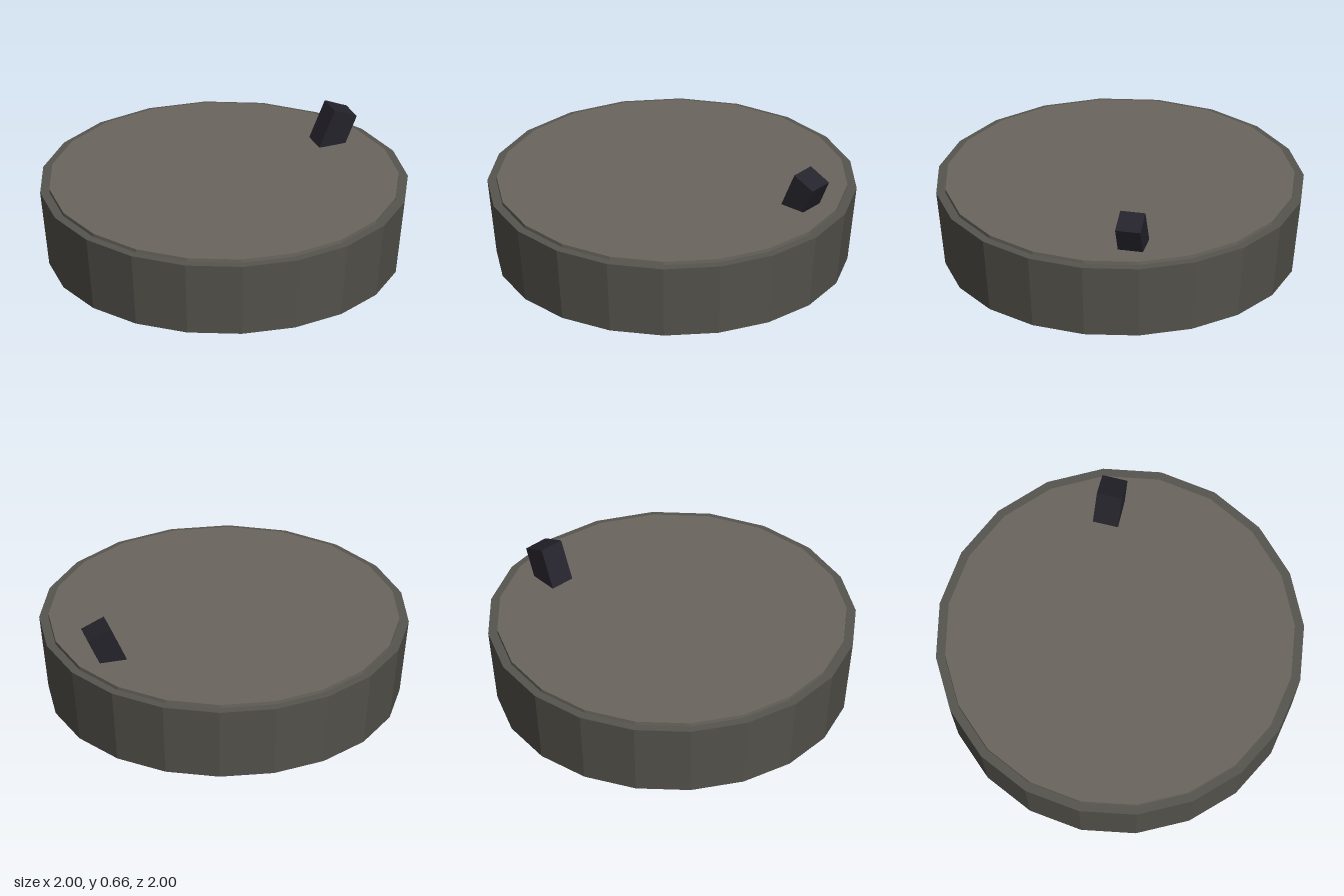
import * as THREE from 'three';

const SIDES = 20;

function part(name, geometry, color) {
  const material = new THREE.MeshStandardMaterial({ color, flatShading: true });
  const mesh = new THREE.Mesh(geometry, material);
  mesh.name = name;
  return mesh;
}

export function createModel() {
  const model = new THREE.Group();
  model.name = 'model';

  // Tapered drum, wider at the rim
  const body = part('body', new THREE.CylinderGeometry(1, 0.95, 0.43, SIDES), 0x57554e);
  body.position.y = 0.215;
  model.add(body);

  // Thin raised disc inside the rim, sunk a little into the body
  const surface = part('topSurface', new THREE.CylinderGeometry(0.95, 0.95, 0.04, SIDES), 0x6a665e);
  surface.position.y = 0.43;
  model.add(surface);

  // Square handle leaning outward, pivoted at the centre of its top face
  const size = 0.14, length = 0.28;
  const handleGeometry = new THREE.BoxGeometry(size, length, size).translate(0, -length / 2, 0);
  const handle = part('handle', handleGeometry, 0x25232b);
  handle.position.set(0.682, 0.627, -0.456);
  handle.rotation.set(0, 0.3, -0.42);
  model.add(handle);

  return model;
}
